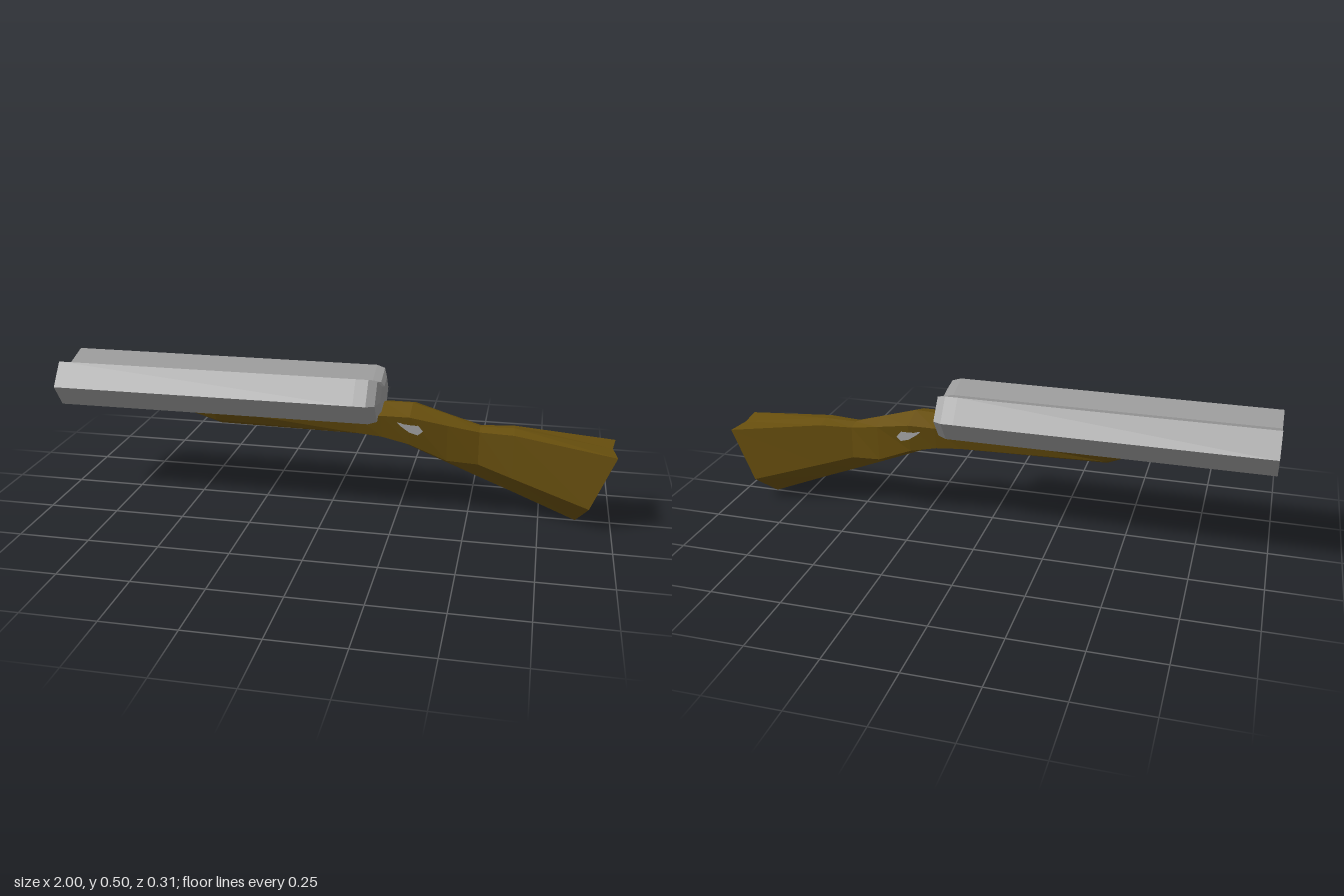
import * as THREE from 'three';

const steel = new THREE.MeshStandardMaterial({ color: 0x999999, flatShading: true });
steel.name = 'steel';
const wood = new THREE.MeshStandardMaterial({ color: 0x684f0d, flatShading: true });
wood.name = 'wood';
const bore = new THREE.MeshStandardMaterial({ color: 0x0c0c0c, flatShading: true });
bore.name = 'bore black';

// Skins closed rings of [x, y, z] points; material 0 = skin and end cap, 1 = start cap
function loft(name, rings, materials) {
  const n = rings[0].length, pos = [];
  const tri = (...pts) => pts.forEach((p) => pos.push(...p));
  for (let i = 0; i < rings.length - 1; i++) {
    for (let j = 0; j < n; j++) {
      const k = (j + 1) % n, A = rings[i], B = rings[i + 1];
      tri(A[j], A[k], B[k]);
      tri(A[j], B[k], B[j]);
    }
  }
  const first = rings[0], last = rings[rings.length - 1];
  for (let j = 1; j < n - 1; j++) tri(last[0], last[j], last[j + 1]);
  const split = pos.length / 3;
  for (let j = 1; j < n - 1; j++) tri(first[0], first[j + 1], first[j]);
  const g = new THREE.BufferGeometry();
  g.setAttribute('position', new THREE.Float32BufferAttribute(pos, 3));
  g.addGroup(0, split, 0);
  g.addGroup(split, pos.length / 3 - split, 1);
  g.computeVertexNormals();
  const mesh = new THREE.Mesh(g, materials);
  mesh.name = name;
  return mesh;
}

// Paired-barrel outline: two joined hexagons, [z, y]
const half = [[0.095, 0.508], [0.155, 0.428], [0.098, 0.347]];
const outline = [[0, 0.478], ...half, [0, 0.378], ...half.map(([z, y]) => [-z, y]).reverse()];
const barrelRing = (x, s = 1) => outline.map(([z, y]) => [x, 0.428 + (y - 0.428) * s, z * s]);

// Stock ring: ridge, upper side, lower side, keel; each point may shift in x
function stockRing(x, ridge, [uz, uy], [lz, ly], keel, shift = [0, 0, 0, 0]) {
  const [a, b, c, d] = shift;
  return [
    [x + a, ridge, 0], [x + b, uy, uz], [x + c, ly, lz],
    [x + d, keel, 0], [x + c, ly, -lz], [x + b, uy, -uz],
  ];
}

export function createModel() {
  const model = new THREE.Group();
  model.name = 'doubleBarrelGun';

  // Barrels with dark muzzle, and the bevelled breech behind them
  model.add(loft('barrels', [barrelRing(-1), barrelRing(0.1)], [steel, bore]));
  model.add(loft('breech', [
    barrelRing(0.1), barrelRing(0.145), barrelRing(0.175, 0.91), barrelRing(0.187, 0.6),
  ], [steel, steel]));

  // Fore-end, grip and butt in one run of wood
  model.add(loft('stock', [
    stockRing(-0.58, 0.385, [0.06, 0.354], [0.04, 0.35], 0.347),
    stockRing(-0.42, 0.4, [0.085, 0.36], [0.06, 0.312], 0.281),
    stockRing(0.1, 0.4, [0.088, 0.372], [0.07, 0.302], 0.275),
    stockRing(0.19, 0.402, [0.088, 0.378], [0.072, 0.295], 0.268),
    stockRing(0.29, 0.405, [0.088, 0.378], [0.07, 0.272], 0.256, [0, 0, 0, -0.04]),
    stockRing(0.42, 0.368, [0.062, 0.348], [0.055, 0.215], 0.187),
    stockRing(0.53, 0.333, [0.04, 0.324], [0.043, 0.205], 0.143),
    stockRing(0.65, 0.334, [0.053, 0.325], [0.058, 0.168], 0.096),
    stockRing(0.995, 0.283, [0.093, 0.283], [0.093, 0.087], 0.003, [-0.008, 0.005, -0.075, -0.115]),
  ], [wood, wood]));

  // Small steel inlays on both sides of the grip
  const patch = new THREE.Shape([
    [-0.05, 0.022], [-0.02, 0.012], [0.03, 0.01], [0.047, -0.01],
    [0.03, -0.024], [0, -0.016], [-0.03, 0.004],
  ].map(([x, y]) => new THREE.Vector2(x, y)));
  for (const side of [1, -1]) {
    const inlay = new THREE.Mesh(
      new THREE.ExtrudeGeometry(patch, { depth: 0.006, bevelEnabled: false }), steel);
    inlay.geometry.translate(0, 0, -0.003);
    if (side < 0) inlay.geometry.scale(1, 1, -1);
    if (side < 0) {
      // Restore outward winding after mirroring
      const p = inlay.geometry.attributes.position;
      for (let i = 0; i < p.count; i += 3) {
        const v = [p.getX(i), p.getY(i), p.getZ(i)];
        p.setXYZ(i, p.getX(i + 1), p.getY(i + 1), p.getZ(i + 1));
        p.setXYZ(i + 1, ...v);
      }
      inlay.geometry.computeVertexNormals();
    }
    inlay.rotation.set(-0.18 * side, 0.06 * side, 0);
    inlay.position.set(0.29, 0.338, 0.082 * side);
    inlay.name = side > 0 ? 'frontInlay' : 'backInlay';
    model.add(inlay);
  }
  return model;
}
